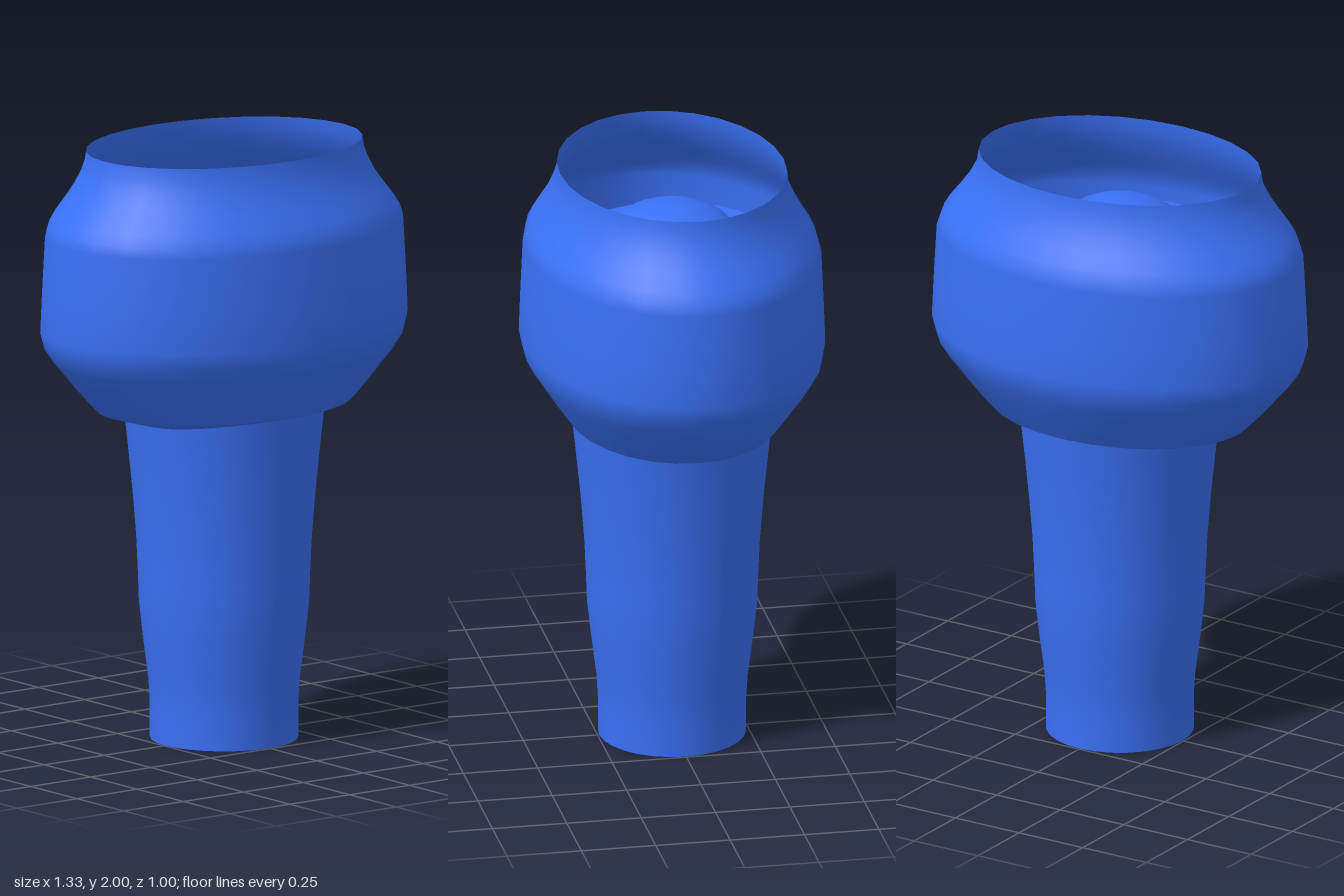
import * as THREE from 'three';

const SIDES = 28;
const material = new THREE.MeshStandardMaterial({ color: 0x3a70f5, side: THREE.DoubleSide });

// Turned part from [radius, height] pairs, listed from the bottom up.
function turned(name, profile) {
  const points = profile.map(([r, y]) => new THREE.Vector2(r, y));
  const mesh = new THREE.Mesh(new THREE.LatheGeometry(points, SIDES), material);
  mesh.name = name;
  return mesh;
}

export function createModel() {
  const group = new THREE.Group();
  group.name = 'ballJoint';

  // Stem: slim foot that swells upwards and carries on inside the housing.
  group.add(turned('stem', [
    [0.245, 0], [0.245, 0.12], [0.25, 0.2], [0.268, 0.34], [0.281, 0.46], [0.284, 0.55],
    [0.29, 0.68], [0.302, 0.83], [0.315, 0.96], [0.33, 1.1], [0.352, 1.27], [0.372, 1.45],
  ]));
  group.add(turned('stemFoot', [[0, 0], [0.245, 0]]));

  // Collar, ledge and dome that close the top of the stem.
  group.add(turned('collar', [[0.372, 1.45], [0.34, 1.74]]));
  group.add(turned('ledge', [[0.34, 1.74], [0.22, 1.74]]));
  const dome = [];
  for (let i = 0; i <= 8; i++) {
    const a = (i / 8) * Math.PI / 2;
    dome.push([0.22 * Math.cos(a), 1.74 + 0.13 * Math.sin(a)]);
  }
  group.add(turned('dome', dome));

  // Housing: thin oval shell, open at the top, flattened front to back.
  const housing = new THREE.Group();
  housing.name = 'housing';
  housing.scale.z = 0.75;
  housing.add(turned('housingFloor', [[0.3, 1.08], [0.465, 1.128]]));
  housing.add(turned('housingShell', [
    [0.465, 1.128], [0.505, 1.17], [0.55, 1.22], [0.575, 1.25], [0.615, 1.295], [0.65, 1.345],
    [0.665, 1.4], [0.659, 1.53], [0.648, 1.72], [0.637, 1.755], [0.615, 1.79],
    [0.575, 1.84], [0.545, 1.88], [0.52, 1.925], [0.505, 1.965], [0.5, 2],
  ]));
  group.add(housing);
  return group;
}
